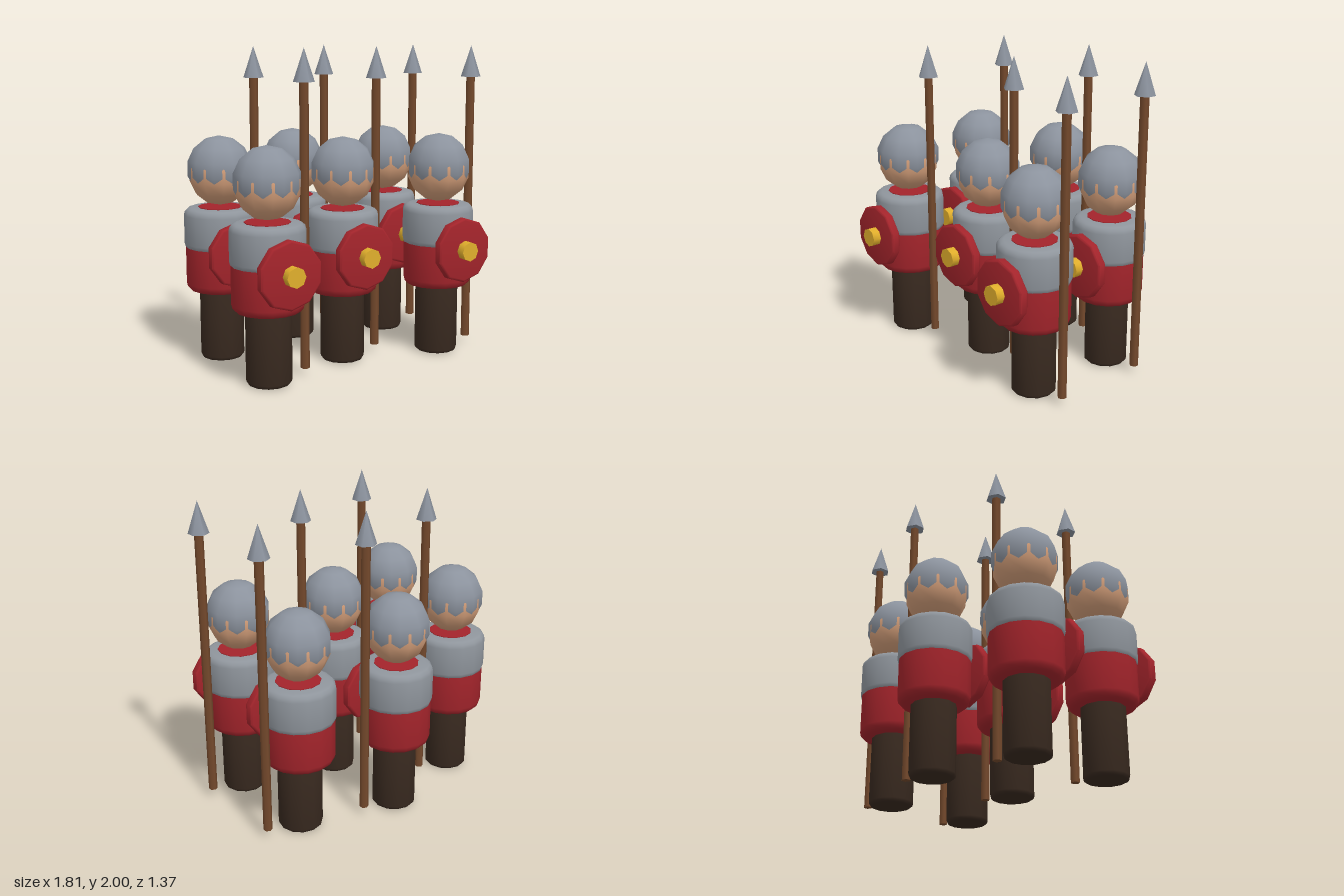
import * as THREE from 'three';
import { toCreasedNormals } from 'three/addons/utils/BufferGeometryUtils.js';

const mat = (color) => new THREE.MeshStandardMaterial({ color });

function add(group, name, geometry, material, x = 0, y = 0, z = 0) {
  const mesh = new THREE.Mesh(geometry, material);
  mesh.name = name;
  mesh.position.set(x, y, z);
  group.add(mesh);
  return mesh;
}

// Closed drum with softly rounded rims, from y0 to y1
function roundedDrum(radius, y0, y1, bevel, sides, crease = 0.7) {
  const points = [new THREE.Vector2(0, y0)];
  for (const [cy, start] of [[y0 + bevel, -Math.PI / 2], [y1 - bevel, 0]]) {
    for (let i = 0; i <= 3; i++) {
      const a = start + (i / 3) * Math.PI / 2;
      points.push(new THREE.Vector2(radius - bevel + Math.cos(a) * bevel, cy + Math.sin(a) * bevel));
    }
  }
  points.push(new THREE.Vector2(0, y1));
  return toCreasedNormals(new THREE.LatheGeometry(points, sides), crease);
}

export function createModel() {
  const steel = mat(0x8c939e);
  const mailGrey = mat(0x8f959c);
  const red = mat(0xa3242b);
  const gold = mat(0xe0ae2c);
  const skin = mat(0xd09c78);
  const wood = mat(0x74492c);
  const dark = mat(0x38291f);

  // Shared geometries
  const legs = roundedDrum(0.14, 0, 0.48, 0.025, 12);
  const tunic = roundedDrum(0.222, 0.45, 0.9, 0.05, 16);
  const mail = roundedDrum(0.23, 0.715, 0.988, 0.045, 16);
  const collar = new THREE.CylinderGeometry(0.14, 0.14, 0.03, 12);
  const head = new THREE.SphereGeometry(0.2, 10, 7);
  const helmet = new THREE.SphereGeometry(0.207, 10, 7);
  helmet.rotateY(Math.PI / 10);
  const shield = roundedDrum(0.208, -0.03, 0.03, 0.015, 10);
  shield.rotateX(Math.PI / 2);
  const boss = toCreasedNormals(new THREE.CylinderGeometry(0.062, 0.062, 0.07, 8), 0.9);
  boss.rotateX(Math.PI / 2);
  const shaft = new THREE.CylinderGeometry(0.028, 0.028, 1.75, 6);
  const tip = new THREE.ConeGeometry(0.065, 0.2, 6);

  function soldier() {
    const g = new THREE.Group();
    g.name = 'soldier';
    add(g, 'legs', legs, dark);
    add(g, 'tunic', tunic, red);
    add(g, 'mailShirt', mail, mailGrey);
    add(g, 'collar', collar, red, 0, 0.977, 0);
    add(g, 'head', head, skin, 0, 1.2, 0);
    add(g, 'helmet', helmet, steel, 0, 1.237, 0);
    add(g, 'shield', shield, red, 0, 0.72, 0.255);
    add(g, 'shieldBoss', boss, gold, 0, 0.722, 0.305);

    // Spear held upright at the left side
    const spear = new THREE.Group();
    spear.name = 'spear';
    spear.position.set(0.253, 0, 0);
    add(spear, 'spearShaft', shaft, wood, 0, 0.925, 0);
    add(spear, 'spearTip', tip, steel, 0, 1.9, 0);
    g.add(spear);
    return g;
  }

  // Two ranks of three, the middle file set back
  const model = new THREE.Group();
  model.name = 'spearSquad';
  for (const rankZ of [0.343, -0.287]) {
    for (let file = -1; file <= 1; file++) {
      const s = soldier();
      s.position.set(-0.042 + file * 0.633, 0, rankZ - (file === 0 ? 0.168 : 0));
      model.add(s);
    }
  }
  return model;
}
